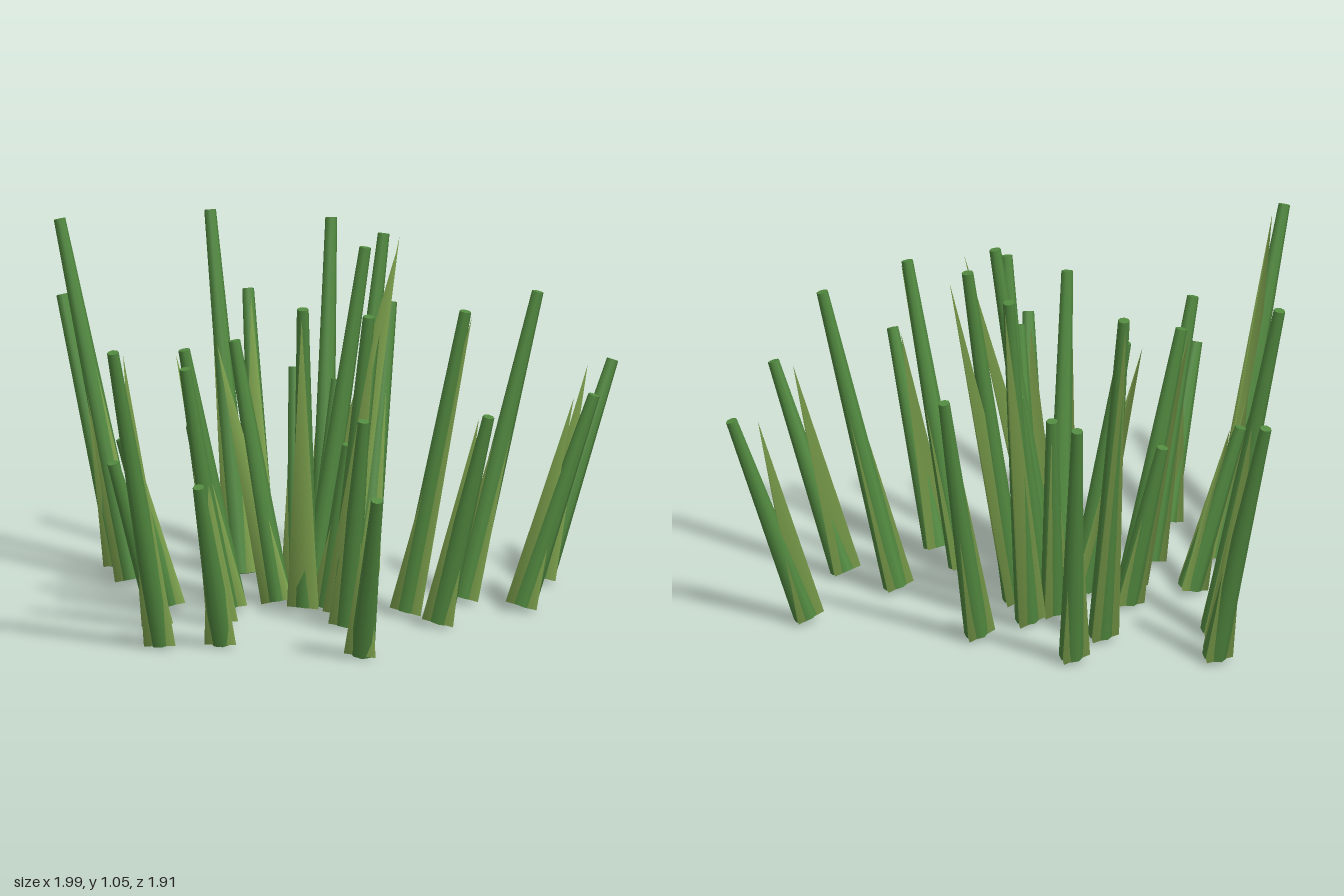
import * as THREE from 'three';

// Stem tips [x, z], grouped by blade height
const TIPS = [
  { h: 1.05, at: [[-0.14, -0.76], [0.27, -0.555], [0.435, -0.225], [0.365, 0.06], [0.175, 0.175]] },
  { h: 0.913, at: [[-0.98, 0.3], [0.19, 0.57], [0.555, 0.5], [-0.065, 0.43], [-0.12, 0.215]] },
  { h: 0.778, at: [[0.05, -0.94], [0.495, -0.625], [0.645, -0.19], [-0.305, -0.085], [-0.51, 0.125], [-0.1, -0.085]] },
  { h: 0.64, at: [[0.1, 0.755], [0.555, 0.73], [0.98, 0.38], [-0.205, 0.55], [0.2, 0.035], [0.25, -0.19]] },
  { h: 0.505, at: [[-0.76, 0.43], [-0.67, -0.01], [-0.54, 0.94], [-0.39, -0.255], [0.01, 0.27], [-0.1, -0.26]] },
];
const CENTRE = new THREE.Vector3(0.04, 0.015, 0.07); // point the tuft fans out from
const UP = new THREE.Vector3(0, 1, 0);

const stemMaterial = new THREE.MeshStandardMaterial({ color: 0x528a40 });
const leafMaterial = new THREE.MeshStandardMaterial({ color: 0x7ca04c });

// Tapered cylinder standing on `from` and leaning to `to`
function leaning(name, from, to, topRadius, baseRadius, sides, material) {
  const axis = to.clone().sub(from);
  const length = axis.length();
  const geometry = new THREE.CylinderGeometry(topRadius, baseRadius, length, sides);
  geometry.translate(0, length / 2, 0);
  const mesh = new THREE.Mesh(geometry, material);
  mesh.name = name;
  mesh.position.copy(from);
  mesh.quaternion.setFromUnitVectors(UP, axis.normalize());
  return mesh;
}

function createBlade(x, z, h) {
  const blade = new THREE.Group();
  blade.name = 'grassBlade';
  const tip = new THREE.Vector3(x, h - 0.003, z);
  const outward = new THREE.Vector3(x - CENTRE.x, 0, z - CENTRE.z);
  const reach = outward.length();
  outward.normalize();

  // Stems lean further the farther out they grow
  const rootRadius = Math.max(0.01, (reach - 0.015 - 0.13 * h) / 1.17);
  const root = CENTRE.clone().addScaledVector(outward, rootRadius);
  blade.add(leaning('stem', root, tip, 0.017, 0.036, 8, stemMaterial));

  // Three-sided pointed leaf with the same lean on every blade
  const leafHeight = h * 0.98 - root.y;
  const leafTip = root.clone().addScaledVector(outward, 0.24 * leafHeight);
  leafTip.y += leafHeight;
  blade.add(leaning('leaf', root, leafTip, 0, 0.055, 3, leafMaterial));
  return blade;
}

export function createModel() {
  const tuft = new THREE.Group();
  tuft.name = 'grassTuft';
  for (const { h, at } of TIPS) {
    for (const [x, z] of at) tuft.add(createBlade(x, z, h));
  }
  return tuft;
}
